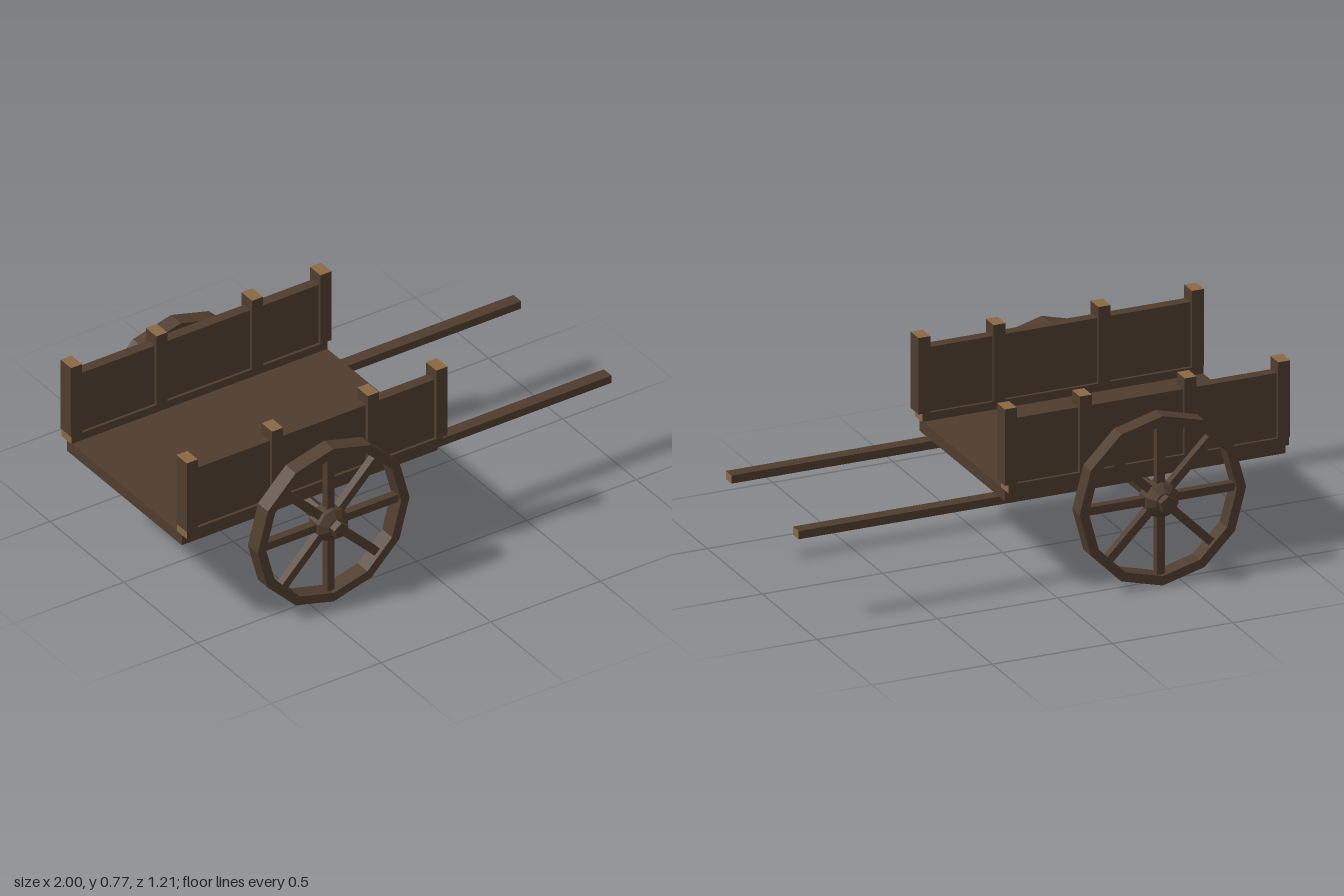
import * as THREE from 'three';

const wood = new THREE.MeshStandardMaterial({ color: 0x4f3d2e, flatShading: true });
wood.name = 'dark wood';
const endGrain = new THREE.MeshStandardMaterial({ color: 0x8a6842, flatShading: true });
endGrain.name = 'end grain';

const WHEEL_X = -0.414, WHEEL_Y = 0.346, WHEEL_Z = 0.518, WHEEL_R = 0.346;

function add(parent, name, geometry, material = wood) {
  const mesh = new THREE.Mesh(geometry, material);
  mesh.name = name;
  parent.add(mesh);
  return mesh;
}

// Beam between min and max corners; the listed face numbers (+x -x +y -y +z -z) show end grain
function beam(parent, name, [x0, y0, z0], [x1, y1, z1], endFaces = []) {
  const materials = [0, 1, 2, 3, 4, 5].map(i => (endFaces.includes(i) ? endGrain : wood));
  const geometry = new THREE.BoxGeometry(x1 - x0, y1 - y0, z1 - z0);
  const mesh = add(parent, name, geometry, endFaces.length ? materials : wood);
  mesh.position.set((x0 + x1) / 2, (y0 + y1) / 2, (z0 + z1) / 2);
  return mesh;
}

// Closed polygon with a corner at the top
function polygon(Type, radius, sides) {
  const points = [];
  for (let i = 0; i < sides; i++) {
    const a = Math.PI / 2 + (i / sides) * Math.PI * 2;
    points.push(new THREE.Vector2(Math.cos(a) * radius, Math.sin(a) * radius));
  }
  return new Type(points);
}

function makeWheel() {
  const wheel = new THREE.Group();
  wheel.name = 'wheel';

  // Twelve-sided rim
  const ring = polygon(THREE.Shape, WHEEL_R, 12);
  ring.holes.push(polygon(THREE.Path, 0.308, 12));
  const rim = new THREE.ExtrudeGeometry(ring, { depth: 0.068, bevelEnabled: false });
  rim.translate(0, 0, -0.034);
  add(wheel, 'rim', rim);

  // Eight spokes
  for (let i = 0; i < 8; i++) {
    const geometry = new THREE.BoxGeometry(0.033, 0.27, 0.033);
    geometry.translate(0, 0.175, 0);
    add(wheel, 'spoke', geometry).rotation.z = (i * Math.PI) / 4;
  }

  // Hub tapering at both ends
  const profile = [[0, -0.055], [0.038, -0.055], [0.07, -0.032], [0.07, 0.032], [0.038, 0.055], [0, 0.055]];
  const hub = new THREE.LatheGeometry(profile.map(p => new THREE.Vector2(...p)), 10);
  hub.rotateX(Math.PI / 2);
  add(wheel, 'hub', hub);
  return wheel;
}

export function createModel() {
  const cart = new THREE.Group();
  cart.name = 'handcart';

  // Flat bed
  beam(cart, 'bed', [-0.997, 0.382, -0.39], [0.168, 0.43, 0.39]);

  // Five-sided axle across the cart
  const axle = new THREE.ExtrudeGeometry(polygon(THREE.Shape, 0.034, 5), { depth: 1.208, bevelEnabled: false });
  axle.translate(WHEEL_X, 0.348, -0.604);
  add(cart, 'axle', axle);

  for (const side of [1, -1]) {
    const half = new THREE.Group();
    half.name = side > 0 ? 'frontSide' : 'backSide';
    cart.add(half);
    const sideBeam = (name, x0, x1, y0, y1, z0, z1, ends) =>
      beam(half, name, [x0, y0, Math.min(side * z0, side * z1)], [x1, y1, Math.max(side * z0, side * z1)], ends);

    // Pull shaft, bottom rail and side boards
    sideBeam('shaft', -0.43, 1, 0.347, 0.38, 0.28, 0.332, [0, 1]);
    sideBeam('bottomRail', -0.997, 0.17, 0.428, 0.463, 0.357, 0.425, [0, 1]);
    sideBeam('sideBoard', -0.98, 0.165, 0.46, 0.726, 0.369, 0.413);

    // Upright posts with cut tops
    for (const x of [-0.975, -0.586, -0.15, 0.162]) {
      sideBeam('post', x - 0.025, x + 0.025, 0.463, 0.775, 0.357, 0.428, [2, 3]);
    }

    const wheel = makeWheel();
    wheel.position.set(WHEEL_X, WHEEL_Y, side * WHEEL_Z);
    half.add(wheel);
  }
  return cart;
}
